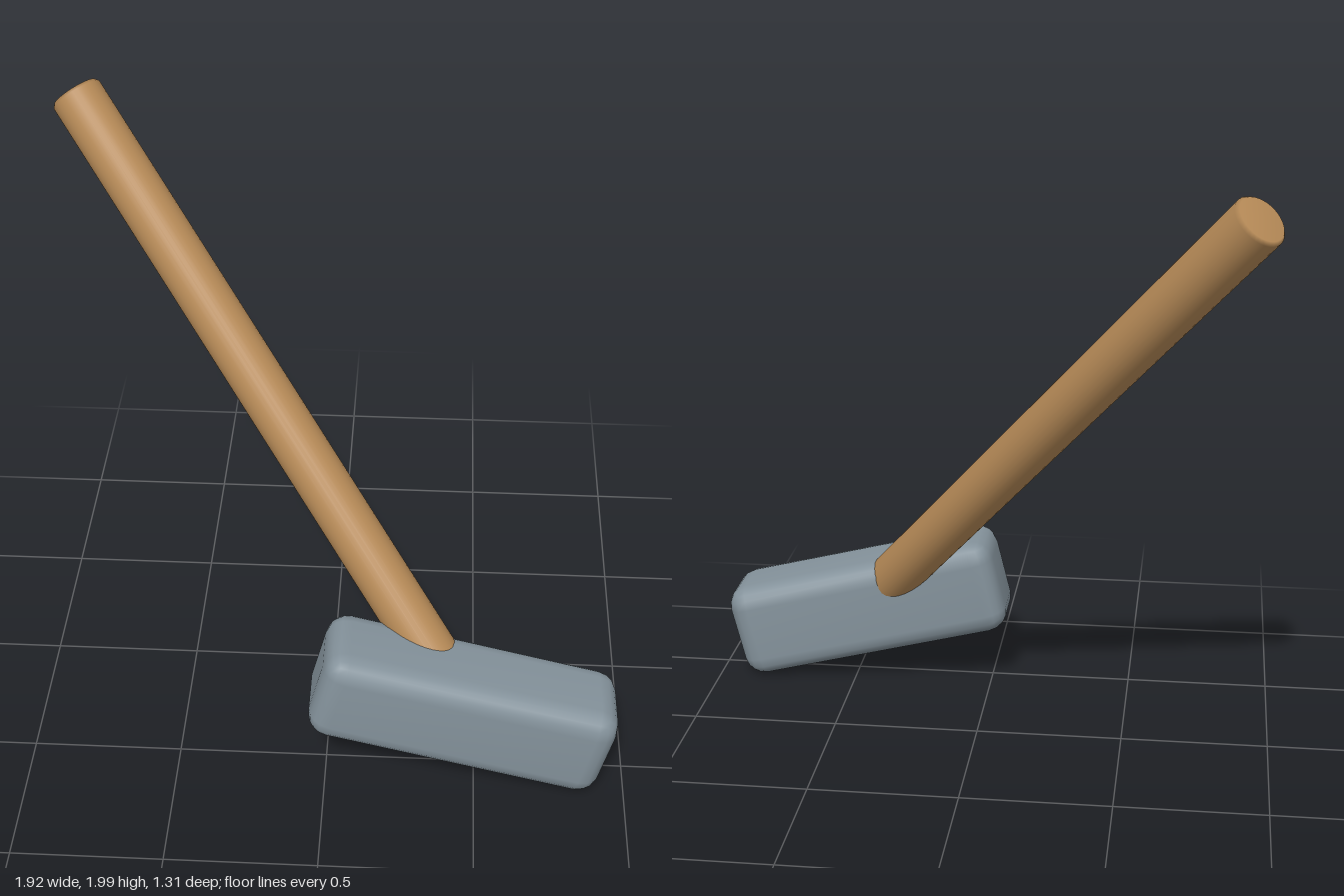
import * as THREE from 'three';
import { mergeVertices } from 'three/addons/utils/BufferGeometryUtils.js';
import { RoundedBoxGeometry } from 'three/addons/geometries/RoundedBoxGeometry.js';

export function createModel() {
  const model = new THREE.Group();
  model.name = 'sledgehammer';

  const steel = new THREE.MeshStandardMaterial({ color: 0x84929b });
  steel.name = 'steel grey';
  const wood = new THREE.MeshStandardMaterial({ color: 0xb68a57 });
  wood.name = 'wood brown';

  const headCentre = new THREE.Vector3(0.455, 0.272, 0.505);
  const handleEnd = new THREE.Vector3(-0.892, 1.936, -0.579);

  // Head: soft-edged block, shaded smoothly across its bevels
  let block = new RoundedBoxGeometry(1.0, 0.345, 0.31, 2, 0.075);
  block.deleteAttribute('normal');
  block.deleteAttribute('uv');
  block = mergeVertices(block, 1e-4);
  block.computeVertexNormals();
  const head = new THREE.Mesh(block, steel);
  head.name = 'head';
  head.position.copy(headCentre);
  head.rotation.z = -0.245;
  model.add(head);

  // Handle: round shaft from the middle of the head to its free end
  const radius = 0.089;
  const axis = handleEnd.clone().sub(headCentre);
  const length = axis.length();
  const profile = [
    [0, 0], [radius, 0], [radius, length - 0.012], [radius - 0.01, length], [0, length],
  ].map(([x, y]) => new THREE.Vector2(x, y));
  const handle = new THREE.Mesh(new THREE.LatheGeometry(profile, 32), wood);
  handle.name = 'handle';
  handle.position.copy(headCentre);
  handle.quaternion.setFromUnitVectors(new THREE.Vector3(0, 1, 0), axis.normalize());
  model.add(handle);

  return model;
}
